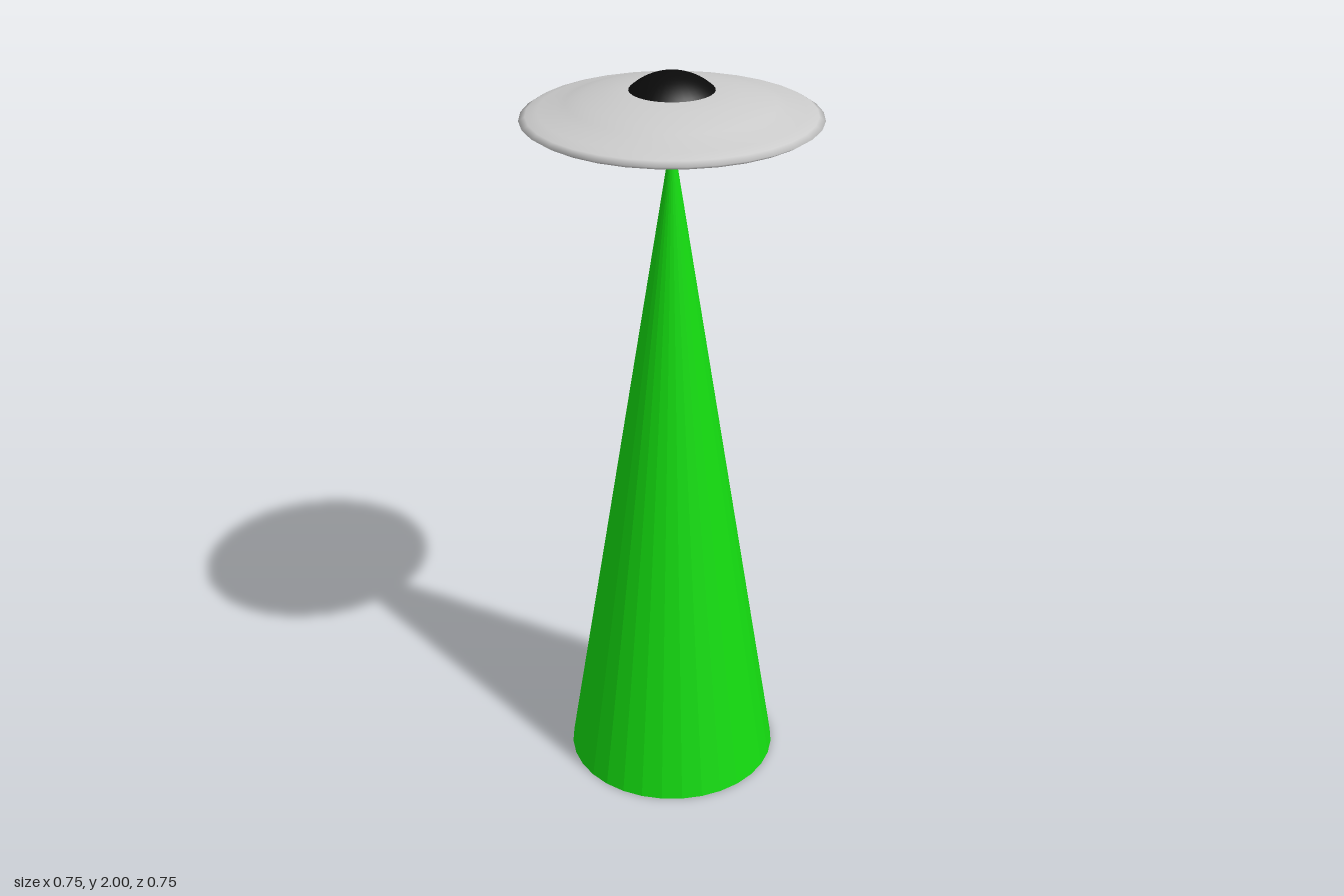
import * as THREE from 'three';

const SIDES = 32;

function addMesh(group, name, geometry, color, flatShading = false) {
  const material = new THREE.MeshStandardMaterial({ color, flatShading });
  const mesh = new THREE.Mesh(geometry, material);
  mesh.name = name;
  group.add(mesh);
  return mesh;
}

// Lathe from [radius, height] pairs, listed from bottom to top
function lathe(profile) {
  return new THREE.LatheGeometry(profile.map(([r, y]) => new THREE.Vector2(r, y)), SIDES);
}

export function createModel() {
  const group = new THREE.Group();

  // Saucer hull: shallow belly, thin flared rim, gently raised top
  addMesh(group, 'saucerHull', lathe([
    [0, 1.82], [0.11, 1.822], [0.17, 1.828], [0.22, 1.837], [0.26, 1.85],
    [0.285, 1.859], [0.33, 1.869], [0.36, 1.879], [0.376, 1.889],
    [0.36, 1.899], [0.33, 1.908], [0.285, 1.917], [0.26, 1.927],
    [0.22, 1.938], [0.17, 1.948], [0.11, 1.957], [0, 1.96],
  ]), 0xcccccc);

  // Dark cockpit dome: a spherical cap
  const domeRadius = 0.112, domeBase = 1.952, domeHeight = 0.048;
  const sphere = (domeRadius ** 2 + domeHeight ** 2) / (2 * domeHeight);
  const dome = addMesh(group, 'cockpitDome', new THREE.SphereGeometry(
    sphere, SIDES, 8, 0, Math.PI * 2, 0, Math.asin(domeRadius / sphere)), 0x0a0a0a);
  dome.position.y = domeBase + domeHeight - sphere;

  // Emitter disc under the belly
  const emitter = addMesh(group, 'beamEmitter',
    new THREE.CylinderGeometry(0.055, 0.055, 0.01, SIDES), 0x14dc10);
  emitter.position.y = 1.822;

  // Beam cone widening down to the ground
  const beamHeight = 1.85;
  const beam = addMesh(group, 'beam',
    new THREE.ConeGeometry(0.292, beamHeight, SIDES), 0x14dc10, true);
  beam.position.y = beamHeight / 2;

  return group;
}
